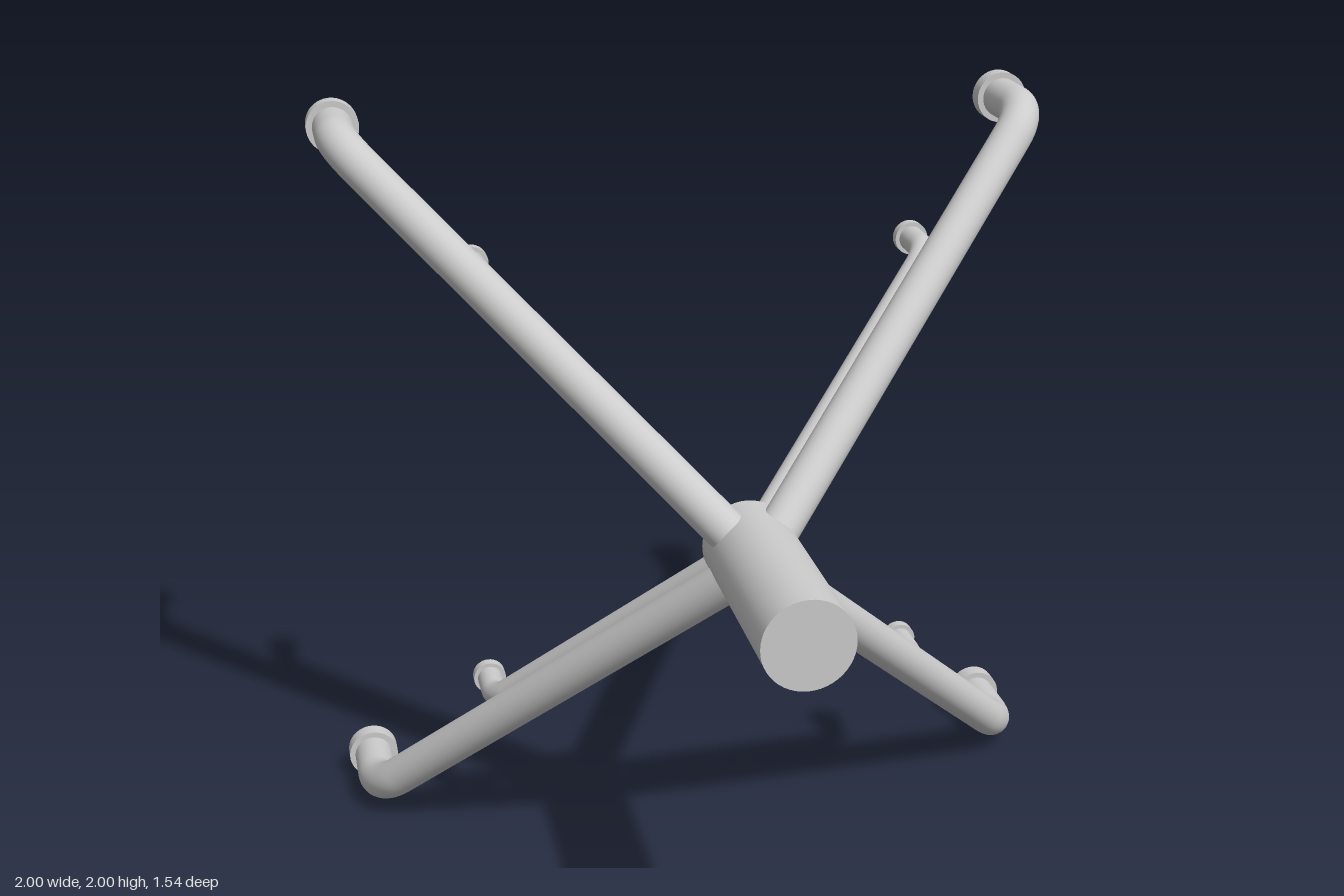
import * as THREE from 'three';

const material = new THREE.MeshStandardMaterial({ color: 0xcccccc });

// Cylinder lying along z between two z positions
function rod(name, radius, zFront, zBack, x = 0, y = 1) {
  const geometry = new THREE.CylinderGeometry(radius, radius, zFront - zBack, 48);
  geometry.rotateX(Math.PI / 2);
  const mesh = new THREE.Mesh(geometry, material);
  mesh.name = name;
  mesh.position.set(x, y, (zFront + zBack) / 2);
  return mesh;
}

// Diagonal pipe from the hub axis, bent to run straight back, with an end cap
function arm(name, sx, sy, { reach, zStart, zBend, zEnd, radius, bend, capRadius, capLength }) {
  const start = new THREE.Vector3(0, 1, zStart);
  const corner = new THREE.Vector3(sx * reach, 1 + sy * reach, zBend);
  const end = new THREE.Vector3(corner.x, corner.y, zEnd + capLength / 2);
  const toward = (target, d) => target.clone().sub(corner).setLength(d).add(corner);
  const a = toward(start, bend);
  const b = toward(end, bend);

  const elbow = new THREE.CubicBezierCurve3(
    a, toward(start, bend * 0.38), toward(end, bend * 0.38), b);
  const path = new THREE.CurvePath();
  path.add(new THREE.LineCurve3(start, a));
  path.add(elbow);
  path.add(new THREE.LineCurve3(b, end));

  const pipe = new THREE.Mesh(new THREE.TubeGeometry(path, 120, radius, 32), material);
  pipe.name = name + 'Pipe';

  const group = new THREE.Group();
  group.name = name;
  group.add(pipe, rod(name + 'Cap', capRadius, zEnd + capLength, zEnd, corner.x, corner.y));
  return group;
}

export function createModel() {
  const model = new THREE.Group();
  model.name = 'fourArmBracket';

  // Central hub with a narrower stub at the back
  model.add(rod('hub', 0.115, 0.77, 0.13));
  model.add(rod('hubStub', 0.07, 0.14, 0.07));

  const large = {
    reach: 0.93, zStart: 0.267, zBend: -0.515, zEnd: -0.77,
    radius: 0.054, bend: 0.095, capRadius: 0.07, capLength: 0.047,
  };
  const small = {
    reach: 0.603, zStart: 0.15, zBend: -0.35, zEnd: -0.51,
    radius: 0.034, bend: 0.055, capRadius: 0.045, capLength: 0.028,
  };

  // One large and one small arm toward each corner
  for (const sx of [-1, 1]) {
    for (const sy of [-1, 1]) {
      const corner = (sy > 0 ? 'upper' : 'lower') + (sx > 0 ? 'Left' : 'Right');
      model.add(arm(corner + 'LargeArm', sx, sy, large));
      model.add(arm(corner + 'SmallArm', sx, sy, small));
    }
  }
  return model;
}
